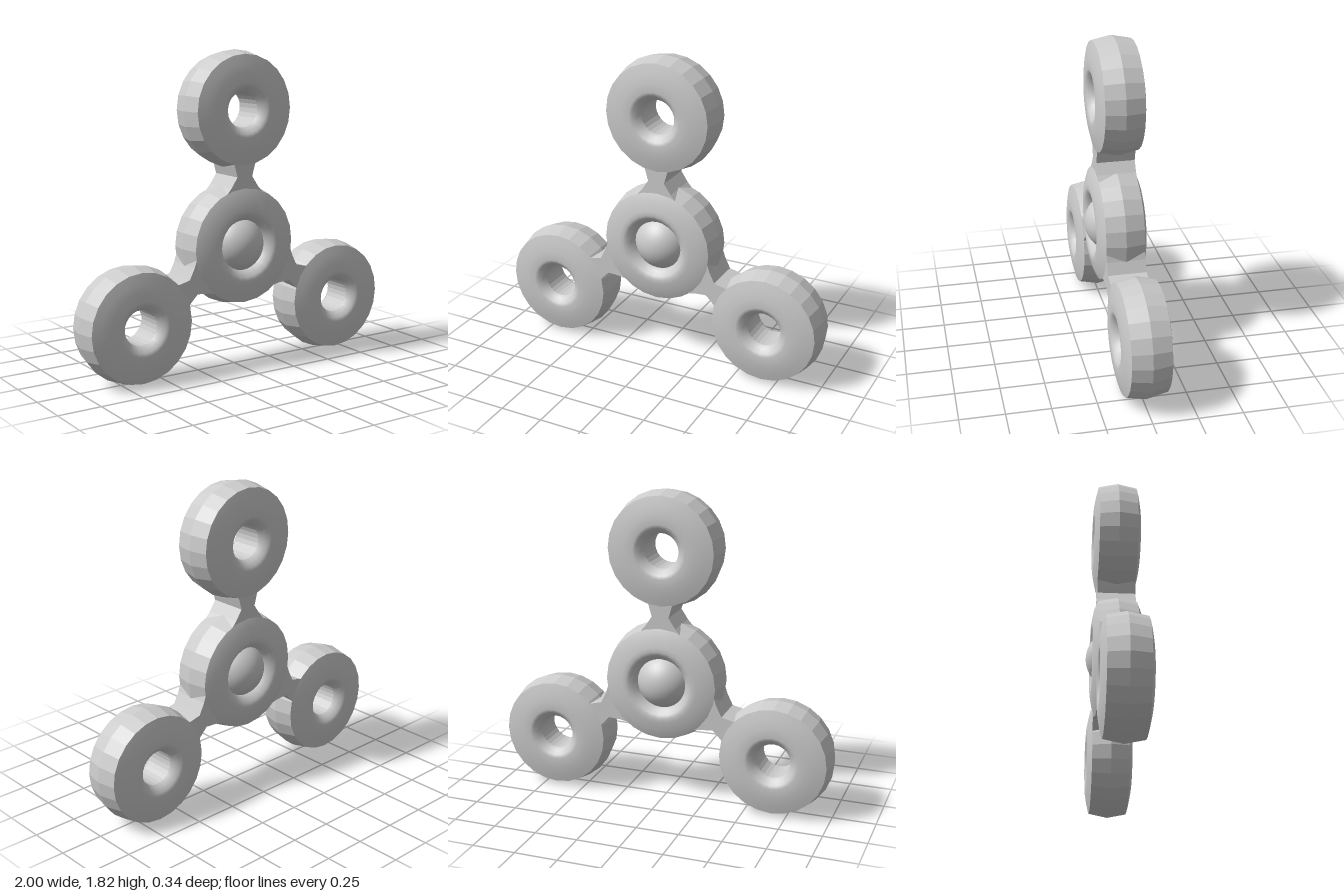
import * as THREE from 'three';
import { mergeGeometries, toCreasedNormals } from 'three/addons/utils/BufferGeometryUtils.js';

const SIDES = 24;
const HUB_Y = 0.725;
const ARM = 0.77;

// Rounded ring facing z: smooth faces, faceted rim and bore.
function ringGeometry(outer, hole, depth) {
  const lathe = (pts) =>
    new THREE.LatheGeometry(pts.map(([r, z]) => new THREE.Vector2(r, z)), SIDES);
  const face = [
    [outer - 0.022, 0.11],
    [outer - 0.07, depth - 0.013],
    [outer - 0.125, depth - 0.003],
    [hole + 0.055, depth],
    [hole + 0.035, depth - 0.007],
    [hole + 0.012, depth - 0.028],
    [hole, depth - 0.05],
  ];
  const back = face.map(([r, z]) => [r, -z]).reverse();
  const edge = [[outer - 0.022, -0.11], [outer, 0], [outer - 0.022, 0.11]];
  const bore = [[hole, depth - 0.05], [hole, 0.05 - depth]];
  return mergeGeometries([
    lathe(face).toNonIndexed(),
    lathe(back).toNonIndexed(),
    toCreasedNormals(lathe(edge), 0.15),
    toCreasedNormals(lathe(bore), 0.15),
  ]).rotateX(Math.PI / 2);
}

// Pinched bridge along +y joining hub and weight.
function neckGeometry() {
  const side = [[0.13, 0.29], [0.09, 0.335], [0.05, 0.395], [0.07, 0.465], [0.11, 0.52]];
  const outline = [...side, ...side.map(([x, y]) => [-x, y]).reverse()];
  const shape = new THREE.Shape(outline.map(([x, y]) => new THREE.Vector2(x, y)));
  return new THREE.ExtrudeGeometry(shape, { depth: 0.22, bevelEnabled: false })
    .translate(0, 0, -0.11);
}

export function createModel() {
  const model = new THREE.Group();
  model.name = 'spinner';
  const material = new THREE.MeshStandardMaterial({ color: 0xcccccc });
  const add = (parent, name, geometry) => {
    const mesh = new THREE.Mesh(geometry, material);
    mesh.name = name;
    parent.add(mesh);
    return mesh;
  };

  // Central hub with a ball showing on both faces
  const hub = new THREE.Group();
  hub.name = 'hub';
  hub.position.y = HUB_Y;
  model.add(hub);
  add(hub, 'hubRing', ringGeometry(0.35, 0.145, 0.142));
  add(hub, 'centreBall', new THREE.SphereGeometry(0.17, 32, 24).rotateX(Math.PI / 2));

  // Three arms, each a neck and a ring weight
  const weight = ringGeometry(0.333, 0.1, 0.135);
  const neck = neckGeometry();
  for (let i = 0; i < 3; i++) {
    const arm = new THREE.Group();
    arm.name = `arm${i + 1}`;
    arm.rotation.z = (i * Math.PI * 2) / 3;
    hub.add(arm);
    add(arm, 'neck', neck);
    add(arm, 'ringWeight', weight).position.y = ARM;
  }
  return model;
}
